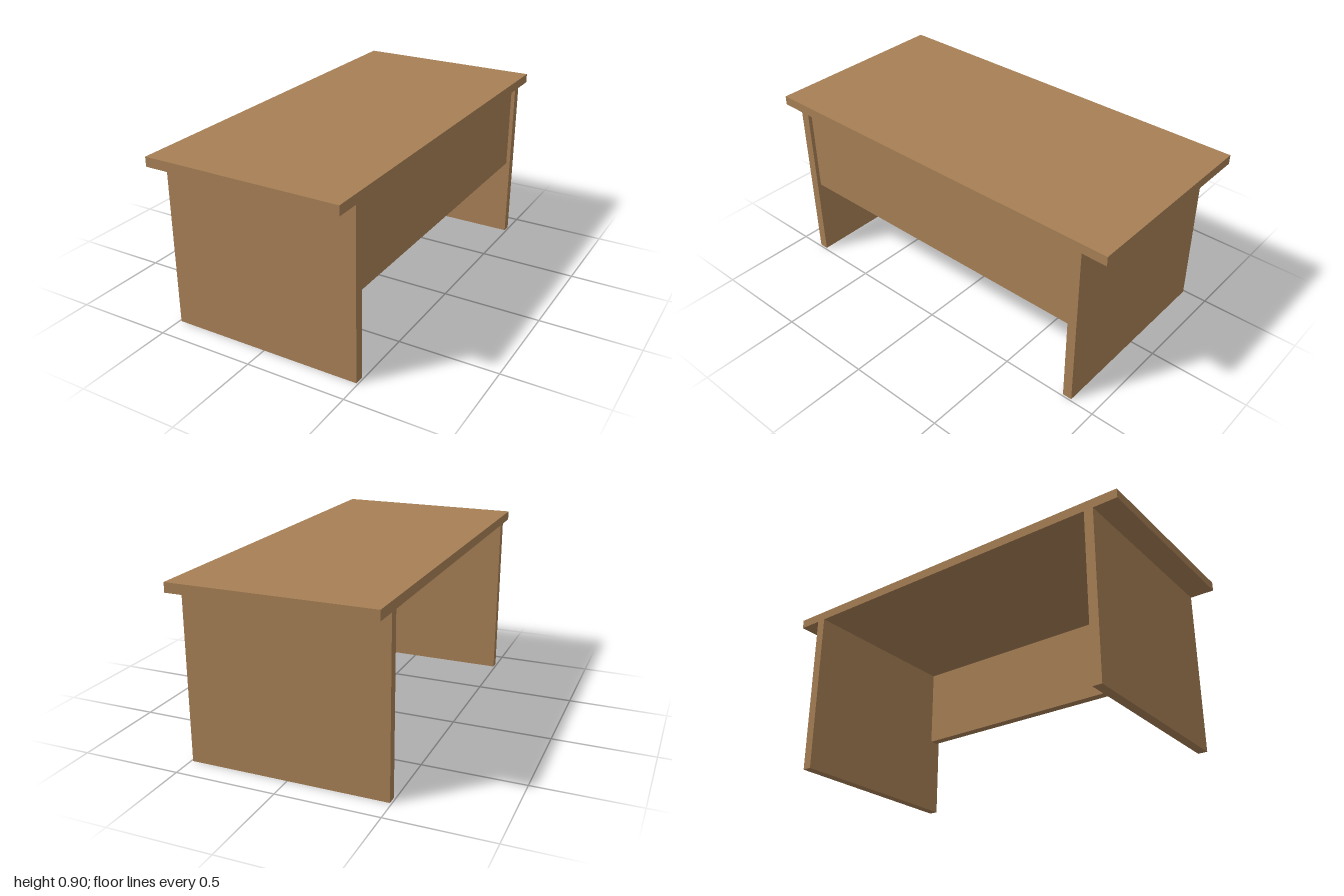
import * as THREE from 'three';

export function createModel() {
  const group = new THREE.Group();
  group.name = 'desk';
  const wood = new THREE.MeshStandardMaterial({ color: 0xa67f55 });
  wood.name = 'wood';

  const width = 0.982, height = 0.9, board = 0.047;
  const legTop = height - board;

  function addBoard(name, size, position) {
    const mesh = new THREE.Mesh(new THREE.BoxGeometry(...size), wood);
    mesh.name = name;
    mesh.position.set(...position);
    group.add(mesh);
  }

  // Overhanging top
  addBoard('tabletop', [width, board, 2], [0, height - board / 2, 0]);

  // Full-depth slab legs at both ends
  const legZ = 0.853;
  for (const [name, s] of [['frontLeg', 1], ['backLeg', -1]]) {
    addBoard(name, [width, legTop, board], [0, legTop / 2, s * legZ]);
  }

  // Modesty panel between the legs, set slightly in from the +x edge
  const panelBottom = 0.42;
  addBoard('modestyPanel',
    [board, legTop - panelBottom, 2 * legZ - board],
    [width / 2 - 0.02 - board / 2, (legTop + panelBottom) / 2, 0]);

  return group;
}
